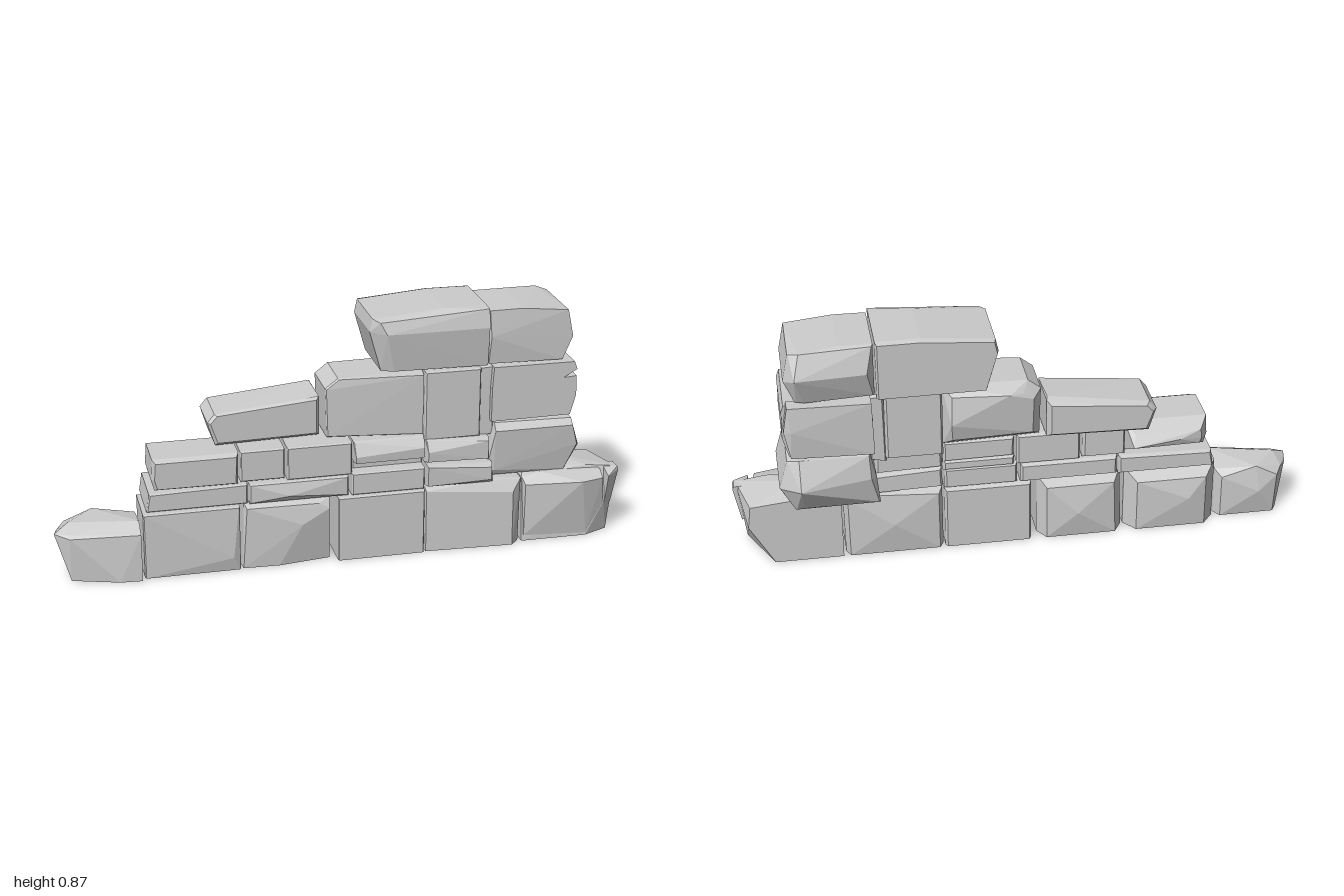
import * as THREE from 'three';
import { ConvexGeometry } from 'three/addons/geometries/ConvexGeometry.js';

// The foundation stones are open underneath, so both sides are shown.
const material = new THREE.MeshStandardMaterial({ color: 0xcccccc, flatShading: true, side: THREE.DoubleSide });

// Convex hull without the faces that rest on the ground.
function openHull(points) {
  const hull = new ConvexGeometry(points);
  const p = hull.getAttribute('position');
  const kept = [];
  for (let i = 0; i < p.count; i += 3) {
    if (Math.max(p.getY(i), p.getY(i + 1), p.getY(i + 2)) < 0.001) continue;
    for (let k = i; k < i + 3; k++) kept.push(p.getX(k), p.getY(k), p.getZ(k));
  }
  const geometry = new THREE.BufferGeometry();
  geometry.setAttribute('position', new THREE.Float32BufferAttribute(kept, 3));
  geometry.computeVertexNormals();
  return geometry;
}

// Convex stone from a front outline [x, y], a depth range and chamfers.
// front / back = [inset, depth] of the chamfer; extra = additional corner points.
function stone(name, outline, zBack, zFront, { front = [0.004, 0.006], back = [0.008, 0.015], extra = [] } = {}) {
  const box = new THREE.Box2().setFromPoints(outline.map(([x, y]) => new THREE.Vector2(x, y)));
  const c = box.getCenter(new THREE.Vector2());
  const s = box.getSize(new THREE.Vector2());
  const points = extra.map((p) => new THREE.Vector3(...p));
  const ring = (z, inset) => {
    for (const [x, y] of outline) {
      points.push(new THREE.Vector3(
        c.x + (x - c.x) * (1 - 2 * inset / s.x),
        y < 0.001 ? 0 : c.y + (y - c.y) * (1 - 2 * inset / s.y), z));
    }
  };
  ring(zBack, back[0]);
  ring(zBack + back[1], 0);
  ring(zFront - front[1], 0);
  ring(zFront, front[0]);
  const mesh = new THREE.Mesh(openHull(points), material);
  mesh.name = name;
  return mesh;
}

const rect = (x0, x1, y0, y1) => [[x0, y0], [x1, y0], [x1, y1], [x0, y1]];
const sharp = { front: [0, 0], back: [0, 0] };

function course(name, ...stones) {
  const g = new THREE.Group();
  g.name = name;
  g.add(...stones);
  return g;
}

export function createModel() {
  const group = new THREE.Group();
  group.name = 'ruinedStoneWall';

  // Large foundation blocks
  group.add(course('foundation',
    stone('endBlock', [[-0.95, 0], [-0.715, 0], [-0.715, 0.18], [-0.96, 0.17]], -0.02, 0.13, {
      front: [0, 0], back: [0.02, 0.03],
      extra: [[-1, 0.17, 0.11], [-0.99, 0.16, 0.06], [-0.715, 0.2, 0.13], [-0.95, 0.195, 0.08],
        [-0.86, 0.195, -0.02], [-0.87, 0.1, -0.04], [-0.715, 0.17, 0.185], [-0.79, 0, 0.18],
        [-0.715, 0, 0.185], [-0.95, 0.16, 0.145]],
    }),
    stone('foundationBlock1', rect(-0.705, -0.375, 0, 0.234), -0.06, 0.17, {
      back: [0.04, 0.05], extra: [[-0.4, 0.05, 0.18], [-0.6, 0.12, -0.078]],
    }),
    stone('foundationBlock2', [[-0.368, 0], [-0.06, 0], [-0.06, 0.234], [-0.358, 0.235]], -0.06, 0.145, {
      front: [0, 0], back: [0.03, 0.05],
      extra: [[-0.365, 0, 0.165], [-0.24, 0, 0.17], [-0.065, 0.2, 0.175], [-0.1, 0.22, 0.17],
        [-0.16, 0.15, 0.182], [-0.35, 0.22, 0.165], [-0.2, 0.1, -0.078]],
    }),
    stone('foundationBlock3', rect(-0.035, 0.272, 0, 0.235), -0.06, 0.18),
    stone('foundationBlock4', [[0.277, 0], [0.622, 0], [0.625, 0.24], [0.5, 0.25], [0.278, 0.235]], -0.06, 0.16, {
      back: [0.015, 0.03],
      extra: [[0.279, 0, 0.175], [0.28, 0.225, 0.17], [0.59, 0, 0.19], [0.59, 0.2, 0.185], [0.45, 0.12, -0.078]],
    }),
    // Corner block undercut towards the back, with a narrow crack at the top of its front
    stone('cornerBlock', [[0.632, 0], [0.87, 0], [0.955, 0.15], [0.945, 0.23], [0.7, 0.255], [0.632, 0.24]], -0.06, -0.04, {
      ...sharp,
      extra: [[0.96, 0, 0.13], [0.99, 0.236, 0.12], [0.88, 0.25, 0.12], [0.78, 0.268, 0.03], [0.65, 0.26, 0.1],
        [0.632, 0.235, 0.14], [0.632, 0, 0.168], [0.87, 0, 0.17], [0.935, 0.12, 0.165]],
    }),
    stone('cornerBlockFront', [[0.634, 0.1], [0.9, 0.1], [0.934, 0.12], [0.925, 0.238], [0.7, 0.25], [0.634, 0.235]], 0.08, 0.14, {
      ...sharp, extra: [[0.64, 0.02, 0.167], [0.64, 0.215, 0.17], [0.84, 0.222, 0.205], [0.87, 0.01, 0.17],
        [0.934, 0.12, 0.165], [0.92, 0.222, 0.185]],
    }),
    stone('cornerBlockFrontEdge', [[0.938, 0.12], [0.975, 0.1], [1, 0.225], [0.995, 0.236], [0.944, 0.238]], 0.08, 0.125, {
      ...sharp, extra: [[0.944, 0.222, 0.178], [0.938, 0.12, 0.164]],
    }),
  ));

  // Thin levelling slabs
  group.add(course('slabCourse',
    stone('slab1', [[-0.69, 0.236], [-0.345, 0.236], [-0.345, 0.308], [-0.68, 0.3]], -0.06, 0.155),
    stone('slab2', rect(-0.34, 0.004, 0.237, 0.308), -0.06, 0.165, { extra: [[-0.2, 0.26, 0.178]] }),
    stone('slab3', rect(0.015, 0.272, 0.238, 0.318), -0.06, 0.172),
    stone('slab4', [[0.277, 0.247], [0.52, 0.24], [0.515, 0.312], [0.28, 0.325]], -0.06, 0.17, {
      extra: [[0.282, 0.32, 0.185], [0.51, 0.255, 0.182], [0.51, 0.3, 0.18], [0.282, 0.25, 0.183]],
    }),
  ));

  // Middle course of small bricks
  group.add(course('brickCourse',
    stone('brick1', [[-0.66, 0.31], [-0.375, 0.308], [-0.372, 0.422], [-0.665, 0.422], [-0.67, 0.35]], -0.06, 0.16, {
      front: [0.01, 0.02], back: [0.03, 0.05], extra: [[-0.39, 0.36, -0.1], [-0.56, 0.37, -0.08]],
    }),
    stone('brick2', rect(-0.367, -0.215, 0.315, 0.425), -0.06, 0.15),
    stone('brick3', rect(-0.207, 0.018, 0.31, 0.428), -0.06, 0.158),
    stone('brick4', [[0.028, 0.348], [0.275, 0.345], [0.275, 0.425], [0.025, 0.425]], -0.06, 0.145, {
      extra: [[0.03, 0.352, 0.168], [0.03, 0.375, 0.17], [0.272, 0.352, 0.165], [0.272, 0.39, 0.168]],
    }),
    stone('brick4Packing', rect(0.025, 0.275, 0.31, 0.35), -0.06, 0.12),
    stone('brick5', [[0.277, 0.327], [0.51, 0.32], [0.505, 0.402], [0.28, 0.41]], -0.06, 0.15, {
      extra: [[0.285, 0.335, 0.17], [0.285, 0.37, 0.172], [0.5, 0.33, 0.17], [0.5, 0.395, 0.17]],
    }),
  ));

  // Stepped upper course
  group.add(course('upperCourse',
    stone('steppedStone', [[-0.44, 0.428], [-0.08, 0.436], [-0.08, 0.575], [-0.44, 0.54], [-0.465, 0.51]], -0.108, 0.085, {
      front: [0.01, 0.01], back: [0.015, 0.02], extra: [[-0.085, 0.582, -0.07]],
    }),
    stone('broadStone', [[-0.06, 0.435], [0.275, 0.425], [0.275, 0.65], [-0.02, 0.645], [-0.065, 0.61]], -0.1, 0.11, {
      back: [0.03, 0.04], extra: [[0.272, 0.645, 0.14], [0.272, 0.43, 0.135], [0.05, 0.62, -0.118], [0.25, 0.52, -0.118]],
    }),
    stone('uprightStone', rect(0.278, 0.475, 0.405, 0.654), -0.11, 0.142),
    stone('uprightPacking', [[0.47, 0.39], [0.53, 0.4], [0.525, 0.652], [0.475, 0.65]], -0.1, 0.12),
  ));

  group.add(stone('capStone', [[0.13, 0.658], [0.5, 0.655], [0.5, 0.865], [0.35, 0.866], [0.1, 0.845], [0.09, 0.8]], -0.145, 0.1, {
    front: [0, 0], back: [0.006, 0.02],
    extra: [[0.12, 0.84, 0.135], [0.17, 0.663, 0.13], [0.5, 0.863, 0.135], [0.5, 0.66, 0.132], [0.14, 0.8, 0.15], [0.498, 0.8, 0.15]],
  }));

  // End pillar of stacked boulders
  group.add(course('endPillar',
    stone('pillarStoneLower', [[0.5, 0.25], [0.79, 0.248], [0.84, 0.338], [0.81, 0.44], [0.53, 0.445], [0.51, 0.35]], -0.13, 0.13, {
      front: [0, 0], back: [0.005, 0.01],
      extra: [[0.77, 0.36, -0.205], [0.77, 0.457, -0.155], [0.53, 0.36, -0.15], [0.53, 0.42, 0.153],
        [0.81, 0.42, 0.153], [0.83, 0.345, 0.145], [0.53, 0.27, 0.14], [0.76, 0.262, -0.14]],
    }),
    // The middle boulder has a wedge-shaped split in its outer face
    stone('pillarStoneMiddle', [[0.515, 0.455], [0.8, 0.458], [0.82, 0.53], [0.818, 0.6], [0.73, 0.57], [0.515, 0.575]], -0.12, 0.143, sharp),
    stone('pillarStoneMiddleTop', [[0.515, 0.572], [0.73, 0.572], [0.82, 0.624], [0.81, 0.652], [0.52, 0.653]], -0.12, 0.143, {
      ...sharp, extra: [[0.815, 0.595, -0.12]],
    }),
    stone('pillarStoneMiddleBack', [[0.515, 0.46], [0.795, 0.468], [0.815, 0.57], [0.8, 0.658], [0.52, 0.653]], -0.155, -0.1, {
      ...sharp, extra: [[0.79, 0.57, -0.164]],
    }),
    stone('pillarStoneTop', [[0.505, 0.662], [0.77, 0.658], [0.805, 0.74], [0.785, 0.836], [0.62, 0.853], [0.505, 0.852]], -0.12, 0.125, {
      front: [0, 0], back: [0.005, 0.01],
      extra: [[0.77, 0.765, -0.175], [0.75, 0.845, -0.135], [0.74, 0.665, -0.135], [0.53, 0.76, -0.15], [0.51, 0.76, 0.135]],
    }),
  ));

  return group;
}
